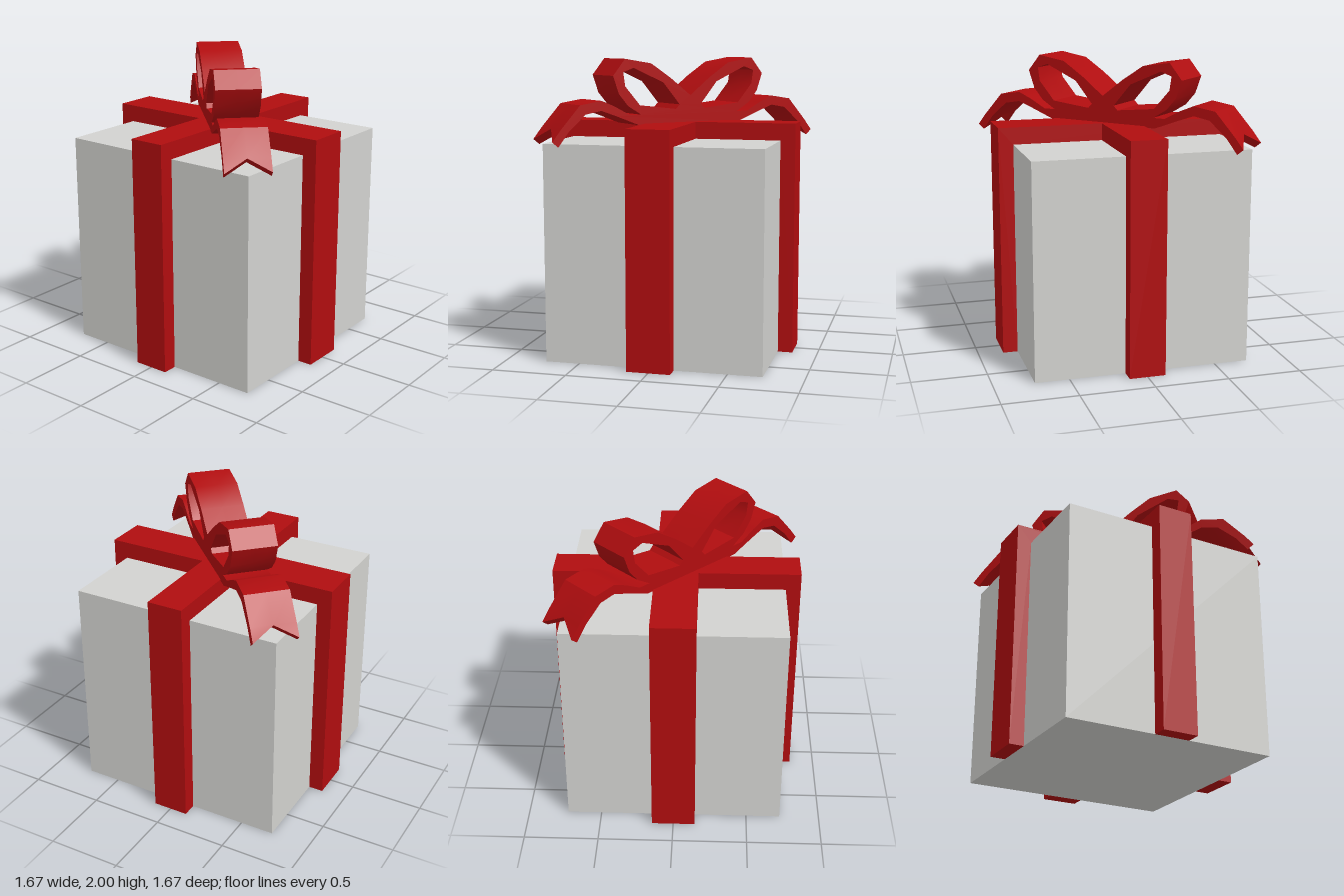
import * as THREE from 'three';
import { toCreasedNormals } from 'three/addons/utils/BufferGeometryUtils.js';

const BOX = { half: 0.73, height: 1.455 };
const RIBBON = { half: 0.83, height: 1.57 };

const points = (list) => list.map(([x, y]) => new THREE.Vector2(x, y));

// Inverted U that wraps over the box, extruded to the ribbon width
function ribbonBand(width) {
  const { half: o, height: t } = RIBBON;
  const { half: i, height: b } = BOX;
  const shape = new THREE.Shape(points([
    [-o, 0], [-i, 0], [-i, b], [i, b], [i, 0], [o, 0], [o, t], [-o, t],
  ]));
  return new THREE.ExtrudeGeometry(shape, { depth: width, bevelEnabled: false })
    .translate(0, 0, -width / 2);
}

// Bow profile: two loops with holes and two drooping tails, mirrored
function bowGeometry() {
  const width = 0.297;
  const tip = 0.695;
  const half = [
    // underside of the tail
    [0.28, 1.56], [0.4, 1.625], [0.48, 1.665], [0.56, 1.645], [0.645, 1.54], [0.70, 1.44],
    // top of the tail
    [0.73, 1.475], [0.686, 1.553], [0.588, 1.706], [0.478, 1.73], [0.41, 1.69], [0.33, 1.63],
    // outside of the loop
    [0.27, 1.63], [0.34, 1.69], [0.388, 1.77], [0.418, 1.89], [0.355, 2.0], [0.216, 1.968], [0.11, 1.87],
  ];
  const hole = [
    [0.06, 1.69], [0.15, 1.84], [0.31, 1.94], [0.365, 1.913], [0.355, 1.82], [0.275, 1.69], [0.08, 1.66],
  ];
  const mirror = (list) => list.map(([x, y]) => [-x, y]).reverse();
  const shape = new THREE.Shape(points([...half, [0, 1.75], ...mirror(half)]));
  shape.holes.push(new THREE.Path(points(hole)), new THREE.Path(points(mirror(hole))));

  const geometry = new THREE.ExtrudeGeometry(shape, { depth: width, steps: 2, bevelEnabled: false });
  geometry.translate(0, 0, -width / 2);

  // Pull the middle of each tail end inward for the swallowtail notch
  const p = geometry.attributes.position;
  for (let i = 0; i < p.count; i++) {
    const x = p.getX(i);
    if (Math.abs(p.getZ(i)) < 0.01 && Math.abs(x) > tip) {
      p.setX(i, x - Math.sign(x) * 0.043);
      p.setY(i, p.getY(i) + 0.075);
    }
  }
  // The profile is drawn as seen from the front, so stretch it along the diagonal
  geometry.scale(Math.SQRT2, 1, 1);
  return toCreasedNormals(geometry, 0.65);
}

export function createModel() {
  const paper = new THREE.MeshStandardMaterial({ color: 0xd2d2cf });
  paper.name = 'grey paper';
  const red = new THREE.MeshStandardMaterial({ color: 0xb00d0f });
  red.name = 'red ribbon';

  const model = new THREE.Group();
  model.name = 'giftBox';
  const add = (name, geometry, material) => {
    const mesh = new THREE.Mesh(geometry, material);
    mesh.name = name;
    model.add(mesh);
    return mesh;
  };

  const side = BOX.half * 2;
  add('box', new THREE.BoxGeometry(side, BOX.height, side), paper).position.y = BOX.height / 2;

  // Crossing ribbons
  add('sideRibbon', ribbonBand(0.244), red);
  add('frontRibbon', ribbonBand(0.292), red).rotation.y = Math.PI / 2;

  // Bow set on the diagonal
  add('bow', bowGeometry(), red).rotation.y = Math.PI / 4;

  return model;
}
